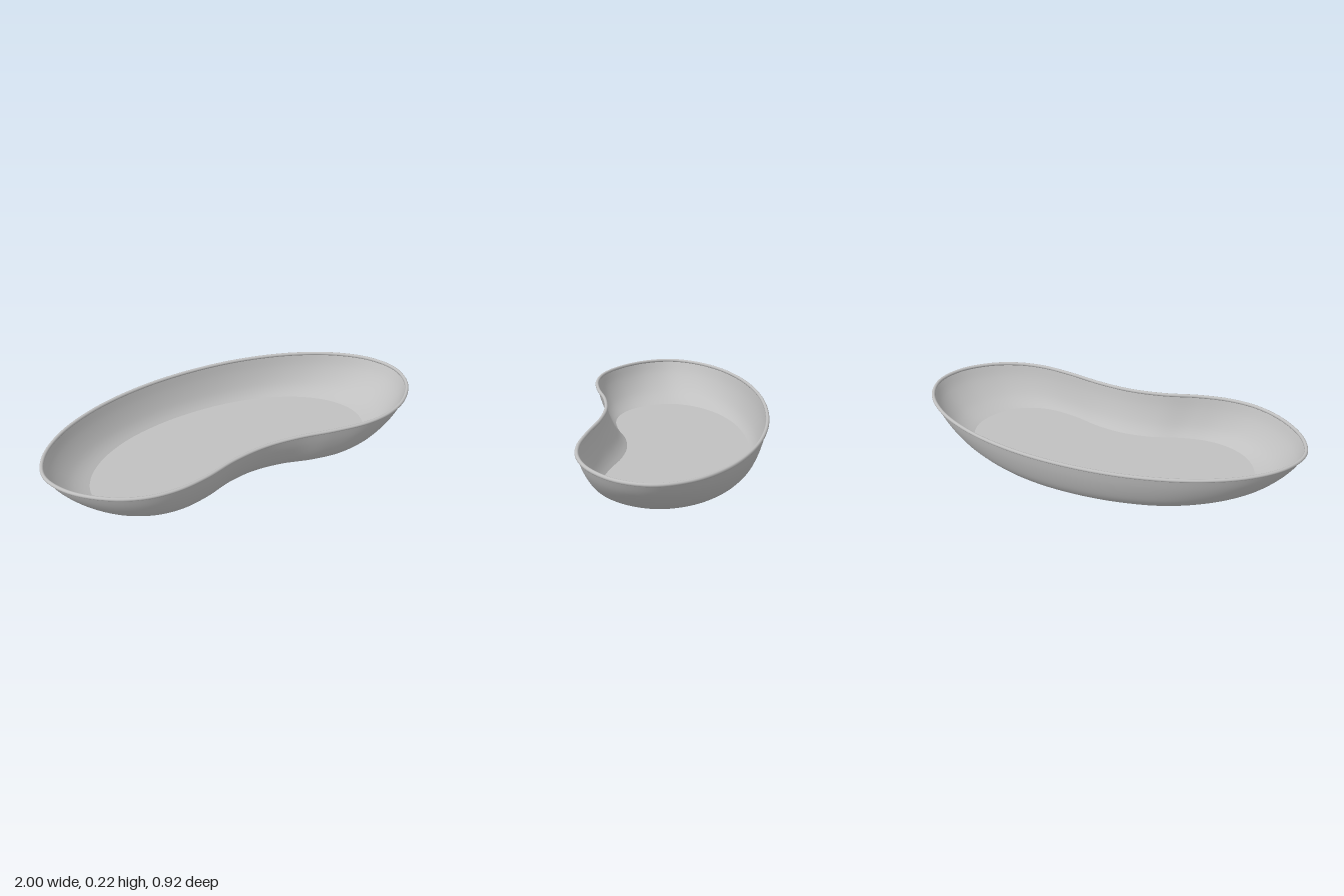
import * as THREE from 'three';

const steel = new THREE.MeshStandardMaterial({ color: 0xc0c0c0, side: THREE.DoubleSide });
steel.name = 'satin grey';

// Matching kidney outlines [x, z], starting at the middle of the back
const RIM = [
  [0, -0.453], [0.3, -0.428], [0.58, -0.35], [0.8, -0.23], [0.94, -0.085], [0.991, 0.07],
  [0.95, 0.22], [0.83, 0.345], [0.69, 0.41], [0.54, 0.428], [0.36, 0.405], [0.18, 0.367],
  [0, 0.352], [-0.18, 0.374], [-0.36, 0.425], [-0.52, 0.446], [-0.67, 0.425], [-0.82, 0.345],
  [-0.945, 0.21], [-0.991, 0.06], [-0.94, -0.085], [-0.8, -0.23], [-0.58, -0.35], [-0.3, -0.428],
];
const BASE = [
  [0, -0.375], [0.22, -0.358], [0.42, -0.304], [0.6, -0.206], [0.71, -0.09], [0.755, 0.04],
  [0.73, 0.16], [0.66, 0.26], [0.56, 0.317], [0.45, 0.335], [0.3, 0.313], [0.15, 0.268],
  [0, 0.25], [-0.15, 0.268], [-0.3, 0.317], [-0.44, 0.34], [-0.56, 0.322], [-0.67, 0.258],
  [-0.74, 0.155], [-0.765, 0.03], [-0.72, -0.09], [-0.61, -0.206], [-0.43, -0.304], [-0.22, -0.358],
];
// Wall section: [blend from base outline to rim outline, height]
const SECTION = [[0, 0], [0.22, 0.021], [0.45, 0.052], [0.68, 0.098], [0.87, 0.15], [1, 0.204]];
const AROUND = 144, UP = 16;

const closedCurve = (pts, y) => new THREE.CatmullRomCurve3(
  pts.map(([x, z]) => new THREE.Vector3(x, y, z)), true, 'centripetal');

// Uniform parameter keeps both outlines in step
const sample = (curve) => Array.from({ length: AROUND }, (_, i) => curve.getPoint(i / AROUND));

function wallGeometry(base, rim) {
  const section = new THREE.SplineCurve(SECTION.map(([t, y]) => new THREE.Vector2(t, y)));
  const positions = [], indices = [];
  for (let j = 0; j <= UP; j++) {
    const s = section.getPoint(j / UP);
    for (let i = 0; i < AROUND; i++) {
      const p = base[i].clone().lerp(rim[i], s.x);
      positions.push(p.x, s.y, p.z);
      if (j === UP) continue;
      const a = j * AROUND + i, b = j * AROUND + (i + 1) % AROUND;
      indices.push(a, a + AROUND, b, b, a + AROUND, b + AROUND);
    }
  }
  const geometry = new THREE.BufferGeometry();
  geometry.setAttribute('position', new THREE.Float32BufferAttribute(positions, 3));
  geometry.setIndex(indices);
  geometry.computeVertexNormals();
  return geometry;
}

export function createModel() {
  const group = new THREE.Group();
  group.name = 'kidneyDish';
  const add = (name, geometry) => {
    const mesh = new THREE.Mesh(geometry, steel);
    mesh.name = name;
    group.add(mesh);
  };

  const rimCurve = closedCurve(RIM, 0.206);
  const base = sample(closedCurve(BASE, 0));

  // Flat floor
  const floor = new THREE.ShapeGeometry(new THREE.Shape(base.map((p) => new THREE.Vector2(p.x, p.z))));
  floor.rotateX(Math.PI / 2);
  add('floor', floor);

  // Flared, curved wall
  add('wall', wallGeometry(base, sample(rimCurve)));

  // Rolled bead around the lip
  add('rim', new THREE.TubeGeometry(rimCurve, 192, 0.009, 10, true));

  return group;
}
